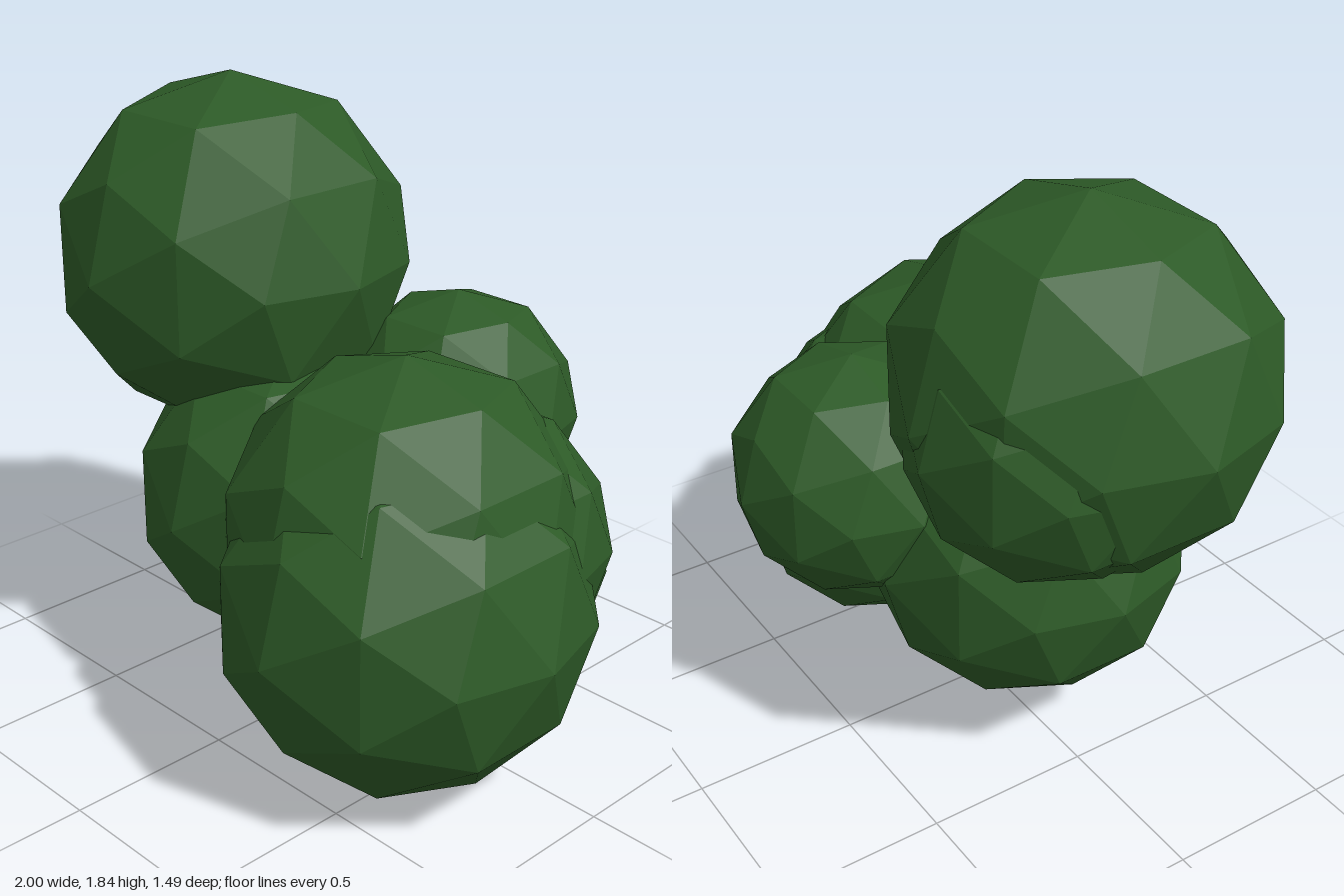
import * as THREE from 'three';

export function createModel() {
  const group = new THREE.Group();
  group.name = 'bush';
  const leafGreen = new THREE.MeshStandardMaterial({ color: 0x2d5a27, flatShading: true });
  leafGreen.name = 'leaf green';

  // Faceted foliage clumps: name, x, y, z, radius
  const clumps = [
    ['topClump', -0.46, 1.30, 0.005, 0.54],
    ['topBackClump', -0.52, 1.23, -0.125, 0.42],
    ['frontLeftClump', 0.465, 0.535, 0.205, 0.535],
    ['upperLeftClump', 0.385, 0.70, 0.13, 0.52],
    ['lowerRightClump', -0.17, 0.625, 0.03, 0.483],
    ['backClump', 0.11, 0.85, -0.375, 0.37],
    ['lowerBackClump', 0.40, 0.52, -0.16, 0.38],
    ['leftSideClump', 0.475, 0.66, -0.03, 0.41],
  ];
  for (const [name, x, y, z, radius] of clumps) {
    const clump = new THREE.Mesh(new THREE.IcosahedronGeometry(radius, 1), leafGreen);
    clump.name = name;
    clump.position.set(x, y, z);
    group.add(clump);
  }
  return group;
}
